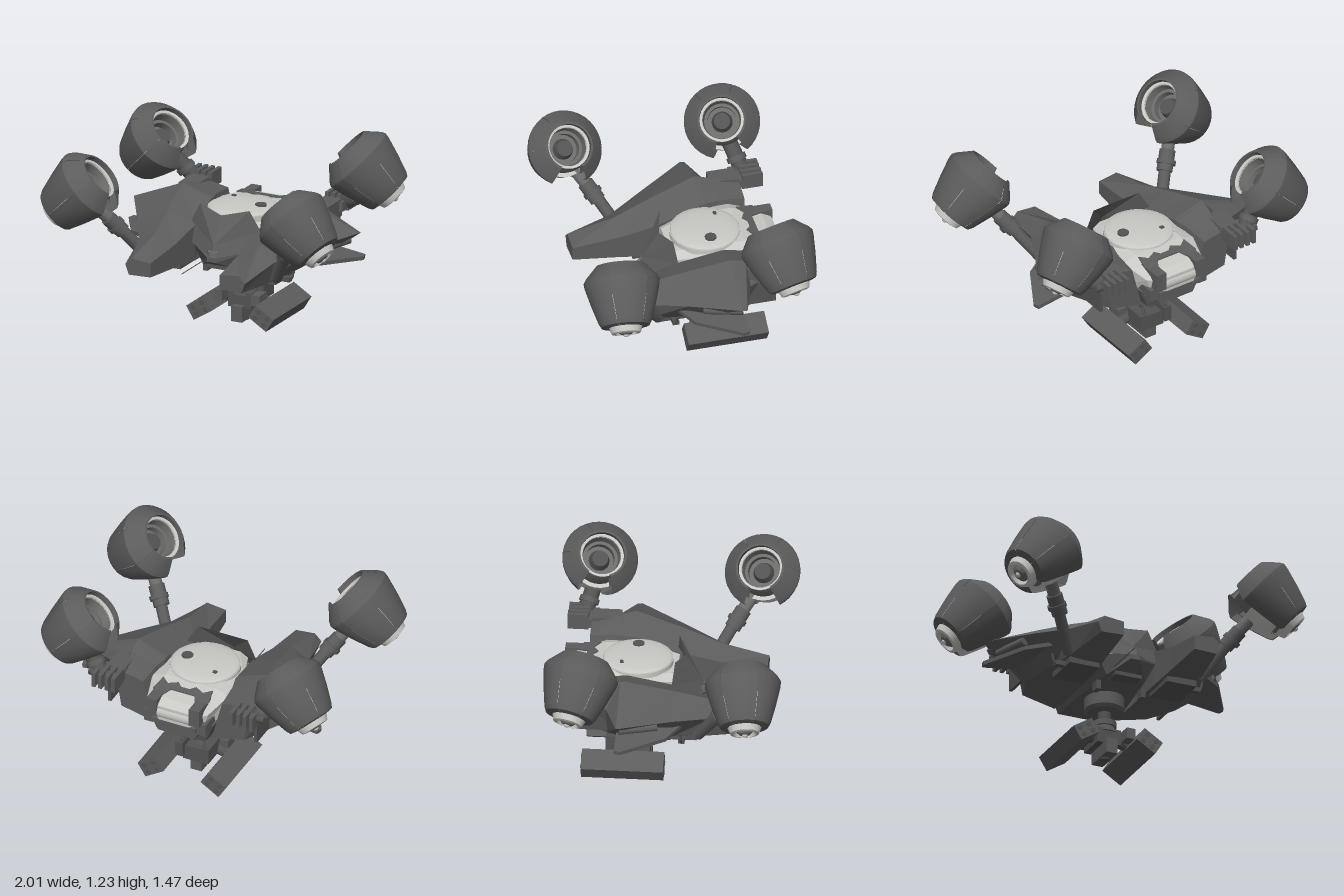
import * as THREE from 'three';
import { toCreasedNormals } from 'three/addons/utils/BufferGeometryUtils.js';

const mat = (name, color, extra = {}) => {
  const m = new THREE.MeshStandardMaterial({ color, ...extra });
  m.name = name;
  return m;
};

export function createModel() {
  const root = new THREE.Group();
  const hull = mat('hullGrey', 0x5c5c5c, { side: THREE.DoubleSide });
  const mech = mat('darkMetal', 0x535353);
  const mid = mat('midGrey', 0x6c6c6a);
  const pale = mat('paleGrey', 0xc8c8c4);
  const V = (x, y, z) => new THREE.Vector3(x, y, z);

  const add = (parent, name, geo, m, x = 0, y = 0, z = 0) => {
    const mesh = new THREE.Mesh(geo, m);
    mesh.name = name;
    mesh.position.set(x, y, z);
    parent.add(mesh);
    return mesh;
  };
  const box = (parent, name, w, h, d, m, x, y, z) =>
    add(parent, name, new THREE.BoxGeometry(w, h, d), m, x, y, z);
  const cyl = (parent, name, rt, rb, h, m, x, y, z, n = 24) =>
    add(parent, name, new THREE.CylinderGeometry(rt, rb, h, n), m, x, y, z);
  const rod = (parent, name, a, b, r, m, n = 12) => {
    const mesh = cyl(parent, name, r, r, a.distanceTo(b), m, 0, 0, 0, n);
    mesh.position.copy(a).add(b).multiplyScalar(0.5);
    mesh.quaternion.setFromUnitVectors(V(0, 1, 0), b.clone().sub(a).normalize());
    return mesh;
  };
  const hose = (parent, name, pts, r, m) =>
    add(parent, name, new THREE.TubeGeometry(new THREE.CatmullRomCurve3(pts), 16, r, 6), m);
  const facets = (verts) => {
    const g = new THREE.BufferGeometry();
    g.setAttribute('position', new THREE.Float32BufferAttribute(verts, 3));
    g.computeVertexNormals();
    return g;
  };
  // Flat-faced loft; sections run front to back, each [z, [x, y] ...] counter-clockwise from the front
  const loft = (sections, s = 1) => {
    const rings = sections.map(([z, ...p]) => {
      const r = p.map(([x, y]) => [s * x, y, z]);
      return s < 0 ? r.reverse() : r;
    });
    const out = [], n = rings[0].length;
    const tri = (...p) => p.forEach((q) => out.push(...q));
    for (let i = 0; i + 1 < rings.length; i++) for (let j = 0; j < n; j++) {
      const k = (j + 1) % n, a = rings[i], b = rings[i + 1];
      tri(a[j], b[j], b[k]);
      tri(a[j], b[k], a[k]);
    }
    const f = rings[0], e = rings[rings.length - 1];
    for (let j = 1; j + 1 < n; j++) {
      tri(f[0], f[j], f[j + 1]);
      tri(e[0], e[j + 1], e[j]);
    }
    return facets(out);
  };
  // Symmetric section from its right-hand corners, bottom to top
  const both = (z, ...half) => [z, ...half, ...half.map(([x, y]) => [-x, y]).reverse()];
  // Horizontal plate from [x, z] corners
  const plate = (pts, t) => {
    const g = new THREE.ExtrudeGeometry(
      new THREE.Shape(pts.map(([x, z]) => new THREE.Vector2(x, -z))), { depth: t, bevelEnabled: false });
    return g.rotateX(-Math.PI / 2);
  };
  const lathe = (pts, n = 28, start = 0, len = Math.PI * 2) => toCreasedNormals(
    new THREE.LatheGeometry(pts.map(([r, y]) => new THREE.Vector2(r, y)), n, start, len), 0.45);

  // Tilted engine pod: split cowl, recessed intake and nozzle
  const pod = (name, s, centre, axis) => {
    const g = new THREE.Group();
    g.name = name;
    const gap = 0.95, n = 5, span = (Math.PI * 2 - gap) / n;
    const profile = [[0.1, -0.19], [0.15, -0.182], [0.165, -0.155], [0.202, -0.04], [0.232, 0.07], [0.236, 0.1],
      [0.222, 0.125], [0.15, 0.203], [0.138, 0.203], [0.138, 0.14], [0.185, 0.08], [0.15, -0.1], [0.1, -0.19]];
    for (let i = 0; i < n; i++) add(g, 'cowlPanel',
      lathe(profile, 6, -s * Math.PI / 2 + gap / 2 + i * span, span - 0.012), hull);
    add(g, 'core', lathe([[0.1, -0.17], [0.13, -0.13], [0.145, 0], [0.15, 0.1], [0.137, 0.16]]), mid);
    add(g, 'coreBand', lathe([[0.13, -0.15], [0.15, -0.11], [0.168, -0.03], [0.172, 0.04], [0.14, 0.04]]), pale);
    add(g, 'intakeRing', lathe([[0.137, 0.15], [0.137, 0.172], [0.121, 0.168], [0.118, 0.155]]), pale);
    add(g, 'intakeWall', lathe([[0.119, 0.16], [0.11, 0.1], [0.09, 0.1], [0.09, 0.05], [0, 0.05]]), mid);
    cyl(g, 'intakeHub', 0.05, 0.065, 0.05, mech, 0, 0.075, 0);
    add(g, 'nozzle', lathe([[0.056, -0.205], [0.07, -0.23], [0.09, -0.225], [0.108, -0.18]]), pale);
    add(g, 'nozzleCone', lathe([[0, -0.242], [0.035, -0.23], [0.06, -0.205]]), mid);
    add(g, 'nozzleTip', new THREE.SphereGeometry(0.02, 12, 8), pale, 0, -0.23, 0);
    g.position.copy(centre);
    g.quaternion.setFromUnitVectors(V(0, 1, 0), axis.normalize());
    root.add(g);
  };

  for (const s of [1, -1]) {
    const side = new THREE.Group();
    side.name = s > 0 ? 'leftSide' : 'rightSide';
    root.add(side);

    // Boom and swept wing shell
    add(side, 'boom', loft([
      [0.57, [0.24, 0.47], [0.39, 0.465], [0.415, 0.53], [0.37, 0.575], [0.24, 0.56]],
      [0.28, [0.22, 0.45], [0.43, 0.45], [0.47, 0.59], [0.35, 0.66], [0.22, 0.6]],
      [0.05, [0.2, 0.43], [0.46, 0.45], [0.6, 0.63], [0.39, 0.73], [0.2, 0.66]],
      [-0.25, [0.2, 0.43], [0.5, 0.46], [0.78, 0.67], [0.44, 0.81], [0.24, 0.74]],
      [-0.28, [0.2, 0.43], [0.5, 0.46], [0.78, 0.665], [0.44, 0.805], [0.24, 0.74]],
      [-0.36, [0.2, 0.43], [0.48, 0.47], [0.55, 0.67], [0.43, 0.785], [0.26, 0.735]],
      [-0.53, [0.2, 0.44], [0.42, 0.49], [0.45, 0.67], [0.4, 0.745], [0.27, 0.72]],
    ], s), hull);
    const fin = add(side, 'lowerFin', plate([[0.42, 0.16], [0.66, 0.02], [0.82, -0.25], [0.81, -0.29], [0.55, -0.29], [0.42, -0.5]]
      .map(([x, z]) => [s * x, z]), 0.025), hull, 0, 0.607, 0);
    fin.rotation.z = -s * 0.13;
    rod(side, 'sideTube', V(s * 0.63, 0.61, -0.04), V(s * 0.7, 0.61, -0.27), 0.027, hull);
    box(side, 'sidePanel', 0.02, 0.16, 0.24, mech, s * 0.5, 0.58, -0.41);
    box(side, 'bellyStep', 0.2, 0.04, 0.26, mech, s * 0.33, 0.43, 0.06);
    box(side, 'bellyFoot', 0.03, 0.06, 0.06, mech, s * 0.15, 0.39, -0.02);
    hose(side, 'skidHandle', [V(s * 0.36, 0.47, 0.1), V(s * 0.39, 0.43, 0.1), V(s * 0.49, 0.43, 0.1), V(s * 0.51, 0.49, 0.1)], 0.008, mech);
    box(side, 'skidPad', 0.08, 0.03, 0.04, mech, s * 0.45, 0.43, 0.1);

    // Front arm with thick wrist
    const wrist = V(s * 0.6, 0.71, 0.36);
    rod(side, 'frontArm', V(s * 0.44, 0.46, 0.2), wrist, 0.038, hull, 8);
    rod(side, 'frontWrist', V(s * 0.56, 0.65, 0.325), V(s * 0.63, 0.745, 0.39), 0.05, hull);
    rod(side, 'frontWristRing', V(s * 0.585, 0.68, 0.345), V(s * 0.6, 0.7, 0.358), 0.06, hull);
    rod(side, 'frontPodStub', wrist, V(s * 0.7, 0.84, 0.46), 0.04, mid);

    // Rear bracket, clevis and short arm
    box(side, 'rearBracket', 0.12, 0.11, 0.18, hull, s * 0.46, 0.715, -0.44);
    for (const x of [0.405, 0.45, 0.495, 0.54])
      box(side, 'clevisPlate', 0.024, 0.1, 0.13, hull, s * x, 0.74, -0.615);
    box(side, 'clevisBase', 0.15, 0.06, 0.1, hull, s * 0.47, 0.73, -0.54);
    rod(side, 'clevisPin', V(s * 0.4, 0.75, -0.6), V(s * 0.6, 0.75, -0.6), 0.03, mech);
    rod(side, 'rearWrist', V(s * 0.53, 0.74, -0.58), V(s * 0.66, 0.88, -0.53), 0.05, mech);
    rod(side, 'rearWristRing', V(s * 0.57, 0.78, -0.565), V(s * 0.59, 0.805, -0.557), 0.062, hull);

    // Raked collar plates ahead of the dome
    const A = [s * 0.17, 0.805, 0.035], B = [s * 0.24, 0.68, 0.02], C = [0, 0.765, 0.085];
    const D = [0, 0.6, 0.19], E = [s * 0.19, 0.56, 0.1], F = [0, 0.53, 0.22];
    const tris = [[A, C, D], [A, D, B], [B, D, E], [E, D, F]];
    add(side, 'collarPlate', facets(tris.flatMap((t) => (s > 0 ? t : [t[0], t[2], t[1]]).flat())), hull);

    // Tail blocks beside the rear lamp
    box(side, 'tailBlock', 0.07, 0.12, 0.17, hull, s * 0.145, 0.655, -0.585);
    box(side, 'tailSill', 0.06, 0.08, 0.14, hull, s * 0.18, 0.56, -0.57);

    // Launcher boxes slung under the turret
    const launcher = new THREE.Group();
    launcher.name = 'launcher';
    launcher.position.set(s * 0.215, 0.092, -0.285);
    launcher.rotation.z = -s * 0.56;
    side.add(launcher);
    box(launcher, 'launcherBox', 0.145, 0.1, 0.51, hull, 0, 0, 0);
    for (const x of [-0.035, 0.035]) for (const y of [-0.024, 0.024]) for (const z of [-0.256, 0.256]) {
      const m = cyl(launcher, 'launchTube', 0.016, 0.016, 0.004, mech, x, y, z, 12);
      m.rotation.x = Math.PI / 2;
    }
    rod(side, 'launcherArm', V(0, 0.17, -0.24), V(s * 0.19, 0.12, -0.24), 0.035, mech);
    box(side, 'launcherMount', 0.05, 0.1, 0.14, mech, s * 0.09, 0.18, -0.33);
    box(side, 'launcherLatch', 0.06, 0.07, 0.1, hull, s * 0.13, 0.165, -0.17);
    hose(side, 'turretHose', [V(s * 0.04, 0.22, -0.27), V(s * 0.06, 0.25, -0.34), V(s * 0.08, 0.24, -0.38), V(s * 0.08, 0.18, -0.38)], 0.008, mech);
  }

  // Engine pods
  pod('frontLeftPod', 1, V(0.77, 0.915, 0.51), V(-0.73, 0.68, -0.1));
  pod('frontRightPod', -1, V(-0.77, 0.915, 0.51), V(0.73, 0.68, -0.1));
  pod('rearLeftPod', 1, V(0.715, 0.98, -0.52), V(-0.66, 0.7, 0.2));
  pod('rearRightPod', -1, V(-0.77, 0.93, -0.52), V(0.68, 0.68, 0.2));

  // Central belly and pale upper hull
  add(root, 'belly', loft([
    both(0.22, [0.03, 0.5], [0.03, 0.53]),
    both(0.08, [0.13, 0.43], [0.2, 0.56]),
    both(-0.3, [0.17, 0.41], [0.25, 0.57]),
    both(-0.55, [0.17, 0.42], [0.22, 0.55]),
    both(-0.62, [0.12, 0.46], [0.16, 0.53]),
  ]), hull);
  add(root, 'upperHull', loft([
    both(0.04, [0.16, 0.54], [0.17, 0.67], [0.12, 0.7]),
    both(-0.2, [0.24, 0.54], [0.26, 0.7], [0.18, 0.735]),
    both(-0.42, [0.24, 0.54], [0.26, 0.7], [0.17, 0.735]),
    both(-0.6, [0.17, 0.54], [0.21, 0.66], [0.14, 0.7]),
    both(-0.66, [0.1, 0.57], [0.12, 0.63], [0.1, 0.67]),
  ]), pale);
  const patch = add(root, 'rearPatch', plate([[-0.17, -0.03], [-0.12, -0.07], [-0.06, -0.04], [-0.03, -0.07], [0.03, -0.07], [0.06, -0.04],
    [0.12, -0.07], [0.17, -0.03], [0.19, -0.14], [0.11, -0.17], [0.08, -0.11], [-0.08, -0.11], [-0.11, -0.17], [-0.19, -0.14]], 0.008),
  hull, 0, 0.735, -0.42);
  patch.rotation.x = -0.19;

  // Shallow dome with base rim and two sensors
  const dome = add(root, 'dome', new THREE.SphereGeometry(0.215, 40, 12, 0, Math.PI * 2, 0, Math.PI / 2), pale, 0, 0.738, -0.21);
  dome.scale.y = 0.13;
  cyl(root, 'domeRim', 0.22, 0.22, 0.05, pale, 0, 0.713, -0.21, 40);
  cyl(root, 'domeSensor', 0.036, 0.036, 0.02, mech, 0.12, 0.759, -0.215);
  box(root, 'domeVent', 0.024, 0.02, 0.02, mech, -0.11, 0.758, -0.3);

  // Tail lamp, nose sensor and whisker antenna
  cyl(root, 'tailLamp', 0.05, 0.05, 0.22, pale, 0, 0.62, -0.62).rotation.z = Math.PI / 2;
  box(root, 'tailTray', 0.3, 0.03, 0.12, hull, 0, 0.555, -0.6);
  cyl(root, 'noseSensor', 0.04, 0.04, 0.05, mid, 0, 0.54, 0.18, 16);
  box(root, 'noseBlock', 0.18, 0.07, 0.1, mech, 0, 0.46, 0.07);
  rod(root, 'antenna', V(-0.1, 0.47, 0.1), V(-0.1, 0.47, 0.42), 0.003, mech, 6);

  // Turret under the belly
  cyl(root, 'turretDrum', 0.125, 0.125, 0.08, hull, 0, 0.38, -0.235, 32);
  cyl(root, 'turretDrumBase', 0.125, 0.11, 0.02, hull, 0, 0.33, -0.235, 32);
  cyl(root, 'turretNeck', 0.042, 0.042, 0.12, mech, 0, 0.27, -0.235);
  cyl(root, 'turretCollar', 0.075, 0.075, 0.035, hull, 0, 0.24, -0.235);
  cyl(root, 'turretBase', 0.06, 0.09, 0.05, mech, 0, 0.2, -0.235);
  box(root, 'turretBody', 0.16, 0.1, 0.2, mech, 0, 0.14, -0.26);
  box(root, 'turretKeel', 0.075, 0.1, 0.22, hull, 0, 0.06, -0.23);
  cyl(root, 'turretFoot', 0.035, 0.03, 0.02, mech, 0, 0.01, -0.225);
  return root;
}
